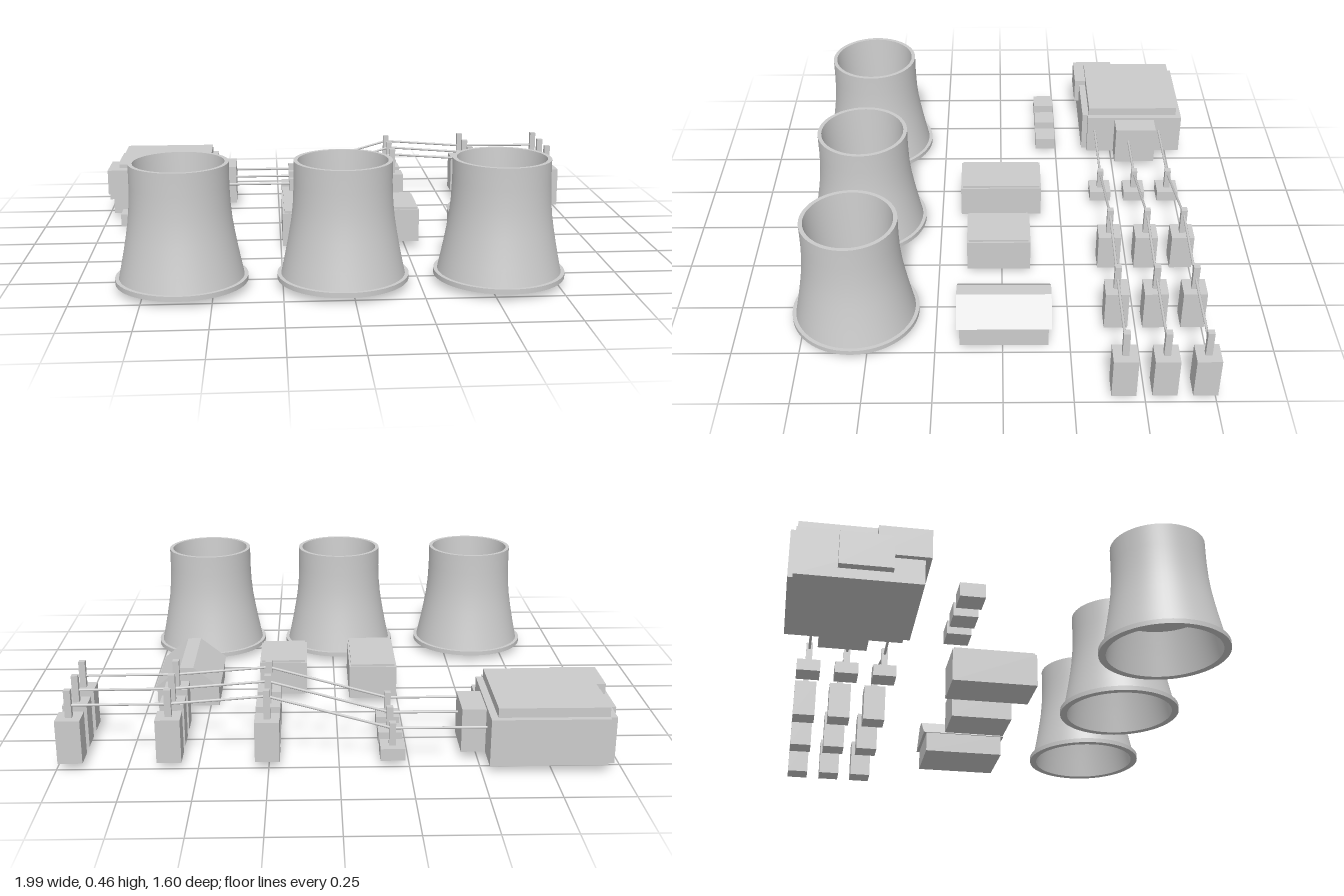
import * as THREE from 'three';
import { toCreasedNormals } from 'three/addons/utils/BufferGeometryUtils.js';

const grey = new THREE.MeshStandardMaterial({ color: 0xcccccc });

function add(parent, name, geometry) {
  const mesh = new THREE.Mesh(geometry, grey);
  mesh.name = name;
  parent.add(mesh);
  return mesh;
}

// Box given by its limits on each axis
function block(parent, name, [x0, x1], [y0, y1], [z0, z1]) {
  const mesh = add(parent, name, new THREE.BoxGeometry(x1 - x0, y1 - y0, z1 - z0));
  mesh.position.set((x0 + x1) / 2, (y0 + y1) / 2, (z0 + z1) / 2);
  return mesh;
}

function group(parent, name) {
  const g = new THREE.Group();
  g.name = name;
  parent.add(g);
  return g;
}

// Closed section: foot ring, flared shell, rim, inner cup with floor, open underside
function towerGeometry() {
  const section = [
    [0.213, 0.025], [0.24, 0.025], [0.24, 0.043], [0.226, 0.043],
    [0.214, 0.1], [0.204, 0.15], [0.195, 0.2], [0.187, 0.25], [0.181, 0.31], [0.178, 0.38], [0.178, 0.463],
    [0.163, 0.463], [0.156, 0.35], [0.148, 0.21], [0, 0.21],
    [0, 0.2], [0.184, 0.2], [0.193, 0.15], [0.203, 0.09], [0.213, 0.025],
  ].map(([r, y]) => new THREE.Vector2(r, y));
  return toCreasedNormals(new THREE.LatheGeometry(section, 64), 0.5);
}

// Straight cable between two points
function cable(parent, a, b) {
  const path = new THREE.LineCurve3(new THREE.Vector3(...a), new THREE.Vector3(...b));
  add(parent, 'cable', new THREE.TubeGeometry(path, 1, 0.005, 8, false));
}

export function createModel() {
  const model = new THREE.Group();
  model.name = 'powerPlant';

  // Cooling towers
  const towerGeo = towerGeometry();
  for (const x of [-0.615, -0.03, 0.545]) add(model, 'coolingTower', towerGeo).position.set(x, 0, 0.555);

  // Main hall: two offset blocks, raised roof and annexes
  const hall = group(model, 'mainHall');
  block(hall, 'hallBody', [-0.97, -0.553], [0.025, 0.2], [-0.79, -0.367]);
  block(hall, 'hallWall', [-0.945, -0.527], [0.025, 0.2], [-0.807, -0.39]);
  block(hall, 'hallRoof', [-0.945, -0.553], [0.19, 0.235], [-0.785, -0.395]);
  block(hall, 'frontAnnex', [-0.99, -0.815], [0.115, 0.22], [-0.525, -0.347]);
  block(hall, 'sideAnnex', [-1, -0.9], [0.06, 0.18], [-0.65, -0.47]);
  block(hall, 'cableHouse', [-0.6, -0.44], [0.025, 0.19], [-0.685, -0.51]);

  // Small sheds before the hall
  for (const x of [-0.873, -0.73, -0.59]) {
    block(model, 'shed', [x - 0.044, x + 0.044], [0.025, 0.075], [-0.245, -0.158]);
  }

  // Flat-roofed buildings
  for (const [x0, x1, z0, z1] of [[-0.243, -0.055, -0.165, 0.168], [0.115, 0.303, -0.112, 0.137]]) {
    const building = group(model, 'flatBuilding');
    block(building, 'walls', [x0, x1], [0.025, 0.157], [z0, z1]);
    block(building, 'flatRoof', [x0 + 0.007, x1 - 0.007], [0.15, 0.166], [z0 + 0.007, z1 - 0.007]);
  }

  // Pitched-roof building with a flat ridge
  const barn = group(model, 'pitchedBuilding');
  block(barn, 'walls', [0.466, 0.711], [0, 0.086], [-0.17, 0.16]);
  const gable = new THREE.Shape([[0.46, 0.083], [0.717, 0.083], [0.617, 0.166], [0.564, 0.166]]
    .map(([x, y]) => new THREE.Vector2(x, y)));
  add(barn, 'pitchedRoof', new THREE.ExtrudeGeometry(gable, { depth: 0.353, bevelEnabled: false }))
    .position.z = -0.182;

  // Transformer rows: base top, pole top and cable height per column
  const columns = [
    { x: -0.19, base: 0.07, pole: 0.155, wire: 0.132 },
    { x: 0.255, base: 0.175, pole: 0.283, wire: 0.258 },
    { x: 0.602, base: 0.187, pole: 0.288, wire: 0.232 },
    { x: 0.95, base: 0.187, pole: 0.288, wire: 0.23 },
  ];
  for (const z of [-0.71, -0.567, -0.423]) {
    const row = group(model, 'transformerRow');
    let last = [-0.56, 0.132, z];
    for (const { x, base, pole, wire } of columns) {
      block(row, 'transformer', [x - 0.044, x + 0.044], [0.025, base], [z - 0.044, z + 0.044]);
      block(row, 'pole', [x - 0.012, x + 0.012], [base - 0.005, pole], [z - 0.012, z + 0.012]);
      const next = [x, wire, z];
      cable(row, last, next);
      last = next;
    }
  }
  return model;
}
